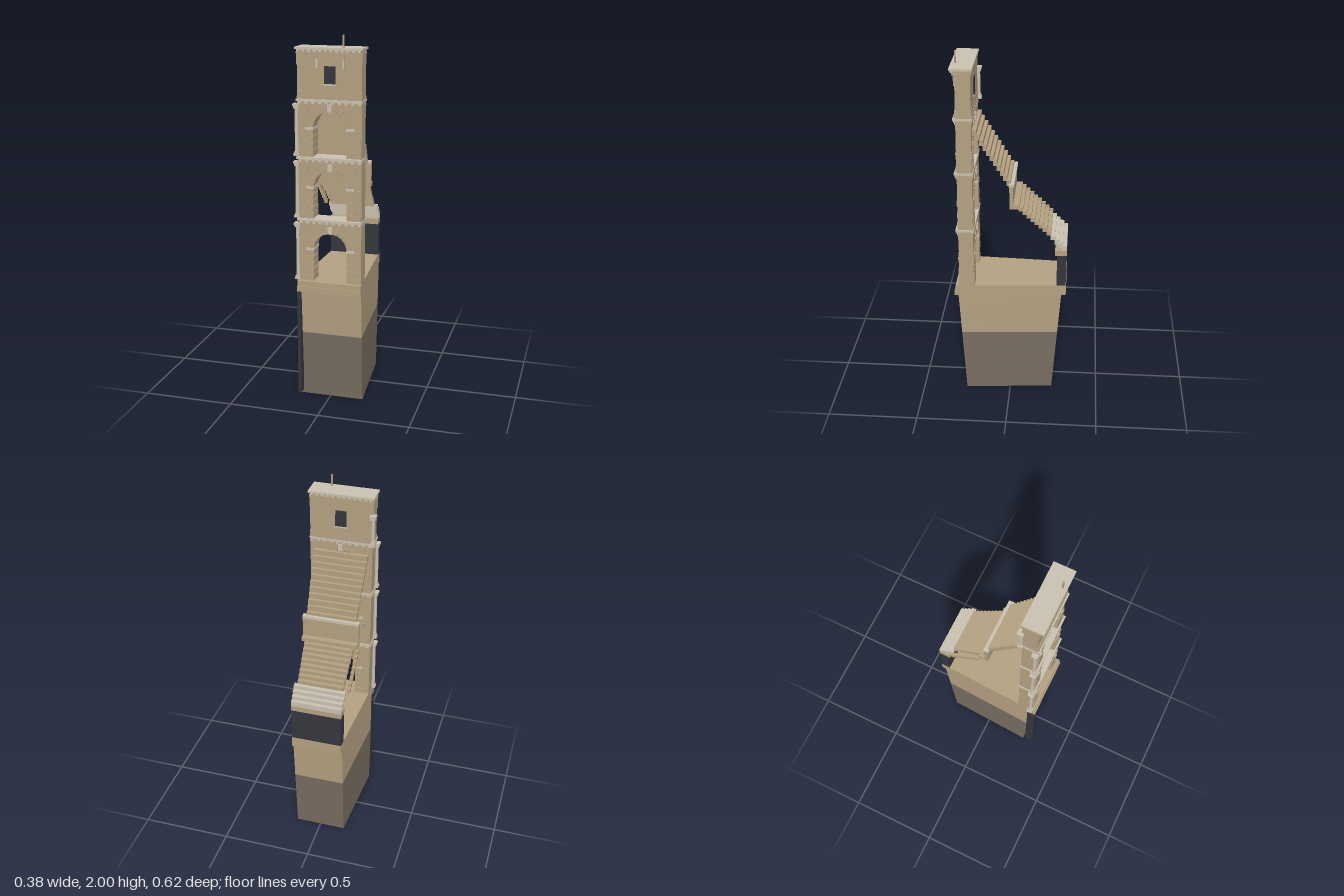
import * as THREE from 'three';

const material = (color) => new THREE.MeshStandardMaterial({ color, flatShading: true });
const TAN = material(0xb3a081), PALE = material(0xc9c0af), STONE = material(0x786d60), DARK = material(0x35353d);
const OPEN = material(0x786d60);
OPEN.side = THREE.DoubleSide;

// the plan is a wedge: side edges lean apart toward the front
const leftAt = (z) => -0.155 - 0.048 * z;
const rightAt = (z) => 0.1625 + 0.0725 * z;

export function createModel() {
  const root = new THREE.Group();
  let parent = root;
  const add = (name, geometry, mat) => {
    const mesh = new THREE.Mesh(geometry, mat);
    mesh.name = name;
    parent.add(mesh);
    return mesh;
  };
  const group = (name) => {
    parent = new THREE.Group();
    parent.name = name;
    root.add(parent);
  };
  const box = (name, x0, x1, y0, y1, z0, z1, mat) => {
    const g = new THREE.BoxGeometry(x1 - x0, y1 - y0, z1 - z0);
    g.translate((x0 + x1) / 2, (y0 + y1) / 2, (z0 + z1) / 2);
    return add(name, g, mat);
  };
  // wedge-plan slab spanning both side edges, pulled in by inset
  const slab = (name, y0, y1, z0, z1, mat, inset = 0) => {
    const g = new THREE.BoxGeometry(1, y1 - y0, z1 - z0);
    g.translate(0, (y0 + y1) / 2, (z0 + z1) / 2);
    const p = g.attributes.position;
    for (let i = 0; i < p.count; i++) {
      const z = p.getZ(i);
      p.setX(i, p.getX(i) < 0 ? leftAt(z) + inset : rightAt(z) - inset);
    }
    g.computeVertexNormals();
    return add(name, g, mat);
  };

  // tapered foundation in five courses, the lowest open underneath
  group('foundation');
  for (let k = 0; k < 5; k++) {
    const mesh = slab('foundationCourse', k * 0.125, k * 0.125 + 0.125, -0.285, 0.285, k === 0 ? OPEN : k < 3 ? STONE : TAN);
    const p = mesh.geometry.attributes.position;
    for (let i = 0; i < p.count; i++) {
      const h = p.getY(i) / 0.625;
      p.setZ(i, p.getZ(i) > 0 ? 0.25 + 0.038 * h : -0.24 - 0.045 * h);
    }
    if (k === 0) {
      const index = Array.from(mesh.geometry.index.array);
      index.splice(18, 6);
      mesh.geometry.setIndex(index);
    }
    mesh.geometry.computeVertexNormals();
  }
  slab('foundationLip', 0.622, 0.652, -0.31, 0.309, TAN);
  slab('floorSlab', 0.65, 0.682, -0.31, 0.303, TAN);
  box('foundationPilaster', -0.17, -0.152, 0.025, 0.624, 0.262, 0.308, DARK);

  // corner column with plinth and capital
  const column = (x, z, y0, y1) => {
    const shaft = new THREE.CylinderGeometry(0.0085, 0.0105, y1 - y0, 10);
    shaft.translate(x, (y0 + y1) / 2, z);
    add('columnShaft', shaft, PALE);
    for (const [a, b, r] of [[y0, y0 + 0.012, 0.015], [y0 + 0.012, y0 + 0.022, 0.012],
      [y1 - 0.025, y1 - 0.012, 0.013], [y1 - 0.012, y1, 0.017]]) {
      box('columnBlock', x - r, x + r, a, b, z - r, z + r, PALE);
    }
  };

  // three arched storeys
  const X0 = -0.165, X1 = 0.18, CX = 0.01, R = 0.095, ZB = 0.2, ZF = 0.28;
  [[0.682, 0.86, 0.995], [1.03, 1.2, 1.33], [1.365, 1.515, 1.635]].forEach(([y0, spring, y1], n) => {
    group(['lowerStorey', 'middleStorey', 'upperStorey'][n]);
    const s = new THREE.Shape();
    s.moveTo(X0, y0);
    s.lineTo(CX - R, y0);
    s.lineTo(CX - R, spring);
    s.absarc(CX, spring, R, Math.PI, 0, true);
    s.lineTo(CX + R, y0);
    s.lineTo(X1, y0);
    s.lineTo(X1, y1);
    s.lineTo(X0, y1);
    s.closePath();
    const wall = new THREE.ExtrudeGeometry(s, { depth: ZF - ZB, bevelEnabled: false, curveSegments: 16 });
    wall.translate(0, 0, ZB);
    add('archWall', wall, TAN);

    // rusticated pier courses, alternately long and short
    const courses = Math.round((spring - y0) / 0.034), h = (spring - y0) / courses;
    for (let k = 0; k < courses; k++) {
      const a = y0 + k * h + 0.002, b = y0 + (k + 1) * h - 0.002, w = k % 2 ? 0.045 : 0.07;
      box('pierBlock', CX - R - w, CX - R + 0.004, a, b, ZB - 0.003, ZF + 0.005, TAN);
      box('pierBlock', CX + R - 0.004, CX + R + w, a, b, ZB - 0.003, ZF + 0.005, TAN);
    }
    for (const side of [-1, 1]) {
      const x = CX + side * (R + 0.015);
      box('impost', x - 0.022, x + 0.022, spring - 0.006, spring + 0.008, ZB - 0.004, ZF + 0.007, PALE);
      box('spandrelBlock', x - 0.012 + side * 0.02, x + 0.012 + side * 0.02, y1 - 0.04, y1 - 0.008, ZF, ZF + 0.005, TAN);
    }

    // ring of arch stones and the keystone
    for (let k = 0; k < 11; k++) {
      const angle = Math.PI * (k + 0.5) / 11, key = k === 5;
      const len = key ? 0.04 : k % 2 ? 0.03 : 0.022;
      const g = new THREE.BoxGeometry(len, 0.024, ZF - ZB + (key ? 0.018 : 0.01));
      g.translate(R - 0.004 + len / 2, 0, 0);
      g.rotateZ(angle);
      g.translate(CX, spring, (ZF + ZB) / 2);
      add(key ? 'keystone' : 'archStone', g, key ? PALE : TAN);
    }

    // cornice with dentils
    box('corniceBed', X0 - 0.003, X1 + 0.002, y1, y1 + 0.012, ZB - 0.003, ZF + 0.006, TAN);
    for (let k = 0; k < 10; k++) {
      const x = X0 + 0.008 + k * 0.0355;
      box('dentil', x, x + 0.016, y1 + 0.01, y1 + 0.022, ZB - 0.003, ZF + 0.011, PALE);
    }
    box('corniceCore', X0, X1, y1 + 0.012, y1 + 0.022, ZB, ZF + 0.003, TAN);
    box('corniceTop', X0 - 0.005, X1 + 0.004, y1 + 0.022, y1 + 0.035, ZB - 0.005, ZF + 0.015, PALE);
    column(-0.172, 0.277, y0 + 0.003, y1 + 0.008);
  });

  // attic with window, corbels and crowning cornice
  group('attic');
  box('atticPlinth', X0 - 0.002, X1 + 0.002, 1.67, 1.685, ZB - 0.004, ZF + 0.008, TAN);
  box('atticPlinthUpper', X0, X1, 1.685, 1.71, ZB - 0.002, ZF + 0.005, TAN);
  box('atticWall', X0, X1, 1.71, 1.845, ZB, ZF, TAN);
  box('atticFrieze', X0 - 0.003, X1 + 0.002, 1.845, 1.9, ZB - 0.002, ZF + 0.006, TAN);
  box('window', -0.02, 0.04, 1.75, 1.84, ZB - 0.004, ZF + 0.004, DARK);
  box('windowSill', -0.025, 0.045, 1.742, 1.75, ZB - 0.004, ZF + 0.006, PALE);
  for (const x of [-0.055, 0.085]) {
    box('corbel', x - 0.005, x + 0.005, 1.83, 1.875, ZF, ZF + 0.013, PALE);
  }
  box('crownBed', X0 - 0.003, X1 + 0.004, 1.9, 1.912, ZB - 0.006, ZF + 0.014, TAN);
  for (let k = 0; k < 12; k++) {
    const x = X0 + 0.004 + k * 0.0295;
    box('crownDentil', x, x + 0.014, 1.912, 1.924, ZB - 0.006, ZF + 0.022, PALE);
  }
  box('crownCore', X0, X1, 1.912, 1.924, ZB - 0.004, ZF + 0.012, TAN);
  box('crownTop', X0 - 0.005, 0.189, 1.924, 1.936, 0.19, 0.308, PALE);
  box('mast', 0.081, 0.089, 1.82, 2.0, 0.281, 0.289, TAN);
  column(-0.167, 0.193, 1.66, 1.84);

  // rear wall below the seating
  group('rearWall');
  slab('rearPanel', 0.682, 0.87, -0.308, -0.257, DARK);
  slab('rearWallCap', 0.87, 0.9, -0.31, -0.245, TAN);

  // lower seating: pale front rows, then tan rows with a side aisle
  group('lowerSeating');
  for (let k = 0; k < 12; k++) {
    const z = -0.31 + k * 0.0218, y = 0.93 + k * 0.0205;
    slab('seatRow', y - (k < 3 ? 0.03 : 0.023), y, z, z + 0.026, k < 4 ? PALE : TAN, k < 4 ? 0 : 0.018);
    if (k > 3) box('aisleStep', -0.166, -0.149, y - 0.023, y, z, z + 0.0218, TAN);
  }
  slab('landing', 1.155, 1.176, -0.05, 0.004, TAN);
  slab('dividingWall', 1.17, 1.285, -0.016, 0.004, TAN);
  slab('dividingWallCap', 1.283, 1.298, -0.022, 0.007, PALE);

  // upper seating
  group('upperSeating');
  for (let k = 0; k < 11; k++) {
    const z = -0.002 + k * 0.0178, y = 1.315 + k * 0.0287;
    slab('seatRow', y - 0.032, y, z, z + 0.0215, TAN, 0.02);
  }
  return root;
}
